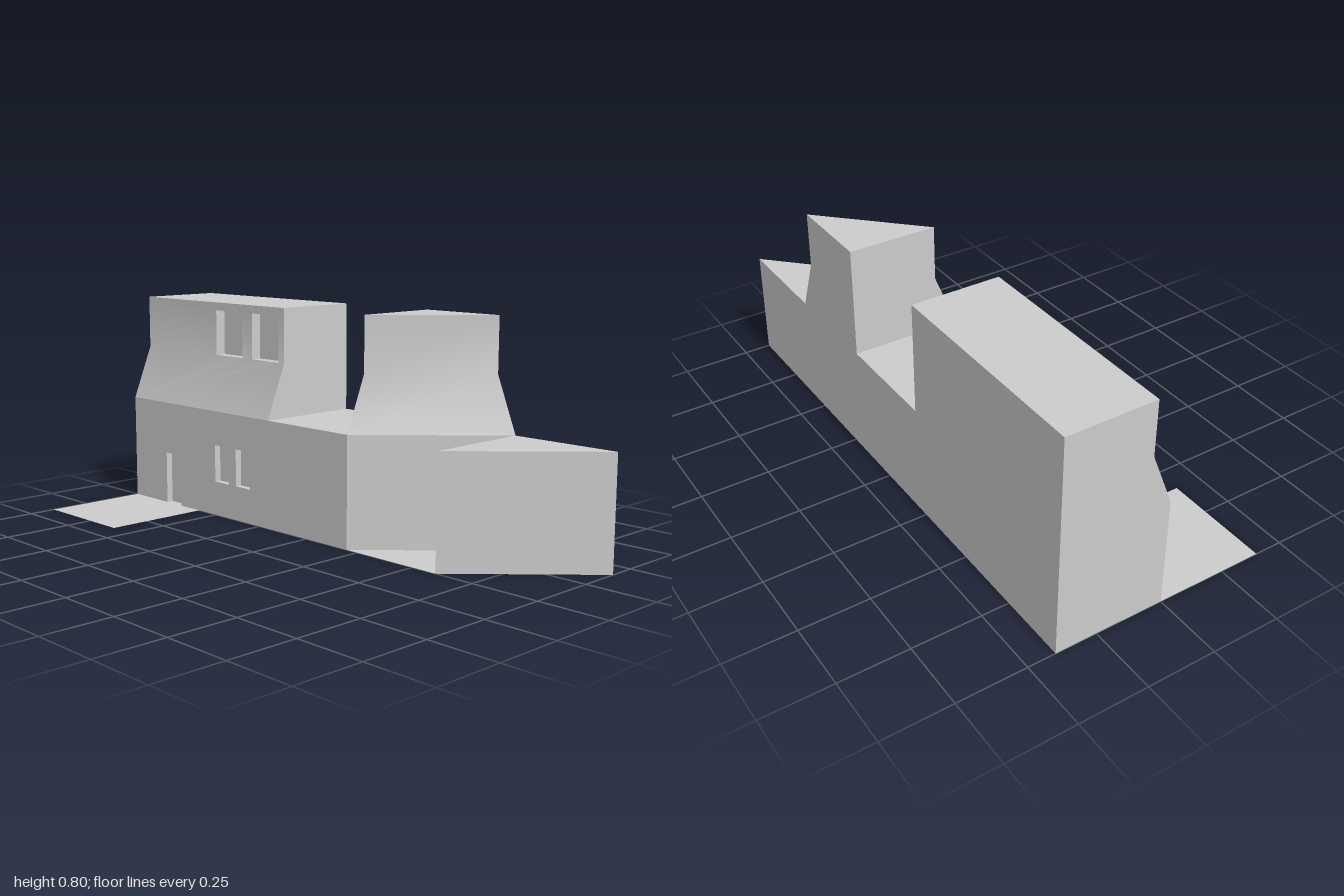
import * as THREE from 'three';
import { mergeGeometries, toCreasedNormals } from 'three/addons/utils/BufferGeometryUtils.js';

const material = new THREE.MeshStandardMaterial({ color: 0xcccccc });
const groundMaterial = new THREE.MeshStandardMaterial({ color: 0xcccccc, side: THREE.DoubleSide });
const CREASE = 0.5;

// Walls between successive rings of corners, closed by a cap on the last ring.
function stack(rings, skipFirstWall = false) {
  const pos = [];
  const tri = (...pts) => pts.forEach((p) => pos.push(...p));
  for (let r = 0; r < rings.length - 1; r++) {
    const a = rings[r], b = rings[r + 1];
    for (let i = skipFirstWall ? 1 : 0; i < a.length; i++) {
      const j = (i + 1) % a.length;
      tri(a[i], a[j], b[j]);
      tri(a[i], b[j], b[i]);
    }
  }
  const top = rings[rings.length - 1];
  for (let i = 1; i < top.length - 1; i++) tri(top[0], top[i], top[i + 1]);
  const g = new THREE.BufferGeometry();
  g.setAttribute('position', new THREE.Float32BufferAttribute(pos, 3));
  g.computeVertexNormals();
  return toCreasedNormals(g, CREASE);
}

const ring = (y, plan) => plan.map(([x, z]) => [x, y, z]);
const shape = (pts) => new THREE.Shape(pts.map(([x, y]) => new THREE.Vector2(x, y)));
const rect = ([x0, x1, y0, y1]) => [[x0, y0], [x1, y0], [x1, y1], [x0, y1]];

// Recess behind an opening: four reveals and a back panel.
function recess(opening, z, depth) {
  const at = (d) => rect(opening).map(([x, y]) => [x, y, d]);
  return stack([at(z), at(z - depth)]);
}

// Outline of a wall whose bottom edge is notched by openings standing on it.
function notched(x0, x1, y0, y1, openings) {
  const pts = [[x0, y0]];
  for (const [a, b, , t] of openings) pts.push([a, y0], [a, t], [b, t], [b, y0]);
  return [...pts, [x1, y0], [x1, y1], [x0, y1]];
}

export function createModel() {
  const group = new THREE.Group();
  const add = (name, geometry, mat = material) => {
    const mesh = new THREE.Mesh(geometry, mat);
    mesh.name = name;
    group.add(mesh);
  };

  // Ground sheet with the forecourt before the door
  const ground = [[-1, 0.4], [-0.6, 0.4], [-0.6, 0], [0.6, 0], [1, -0.4], [-1, -0.4]];
  add('ground', new THREE.ShapeGeometry(shape(ground.map(([x, z]) => [x, -z]))).rotateX(-Math.PI / 2), groundMaterial);

  // Lower storey: front left open for the facade
  const lowerPlan = [[-1, 0], [0.2, 0], [0.6, -0.4], [-1, -0.4]];
  add('lowerStorey', stack([ring(0, lowerPlan), ring(0.4, lowerPlan)], true));
  add('diagonalWall', stackWall([0.2, 0], [0.6, -0.4], 0, 0.4));

  // Lower facade with door and two windows
  const door = [-0.8, -0.71, 0, 0.2];
  const lowerWindows = [[-0.5, -0.42, 0.13, 0.27], [-0.38, -0.3, 0.13, 0.27]];
  const lowerWall = shape(notched(-1, 0.2, 0, 0.4, [door]));
  for (const w of lowerWindows) lowerWall.holes.push(new THREE.Path(shape(rect(w)).getPoints()));
  add('lowerFacade', new THREE.ShapeGeometry(lowerWall));
  add('doorRecess', recess(door, 0, 0.025));
  lowerWindows.forEach((w) => add('lowerWindowRecess', recess(w, 0, 0.025)));

  // Upper hall: sides, back and roof
  const hallPlan = (z) => [[-1, z], [-0.2, z], [-0.2, -0.4], [-1, -0.4]];
  add('upperHall', stack([ring(0.4, hallPlan(0)), ring(0.6, hallPlan(-0.08)), ring(0.8, hallPlan(-0.08))], true));

  // Upper facade: sloped band running smoothly into the windowed wall
  const upperWindows = [[-0.58, -0.43, 0.6, 0.77], [-0.375, -0.23, 0.6, 0.77]];
  const sills = upperWindows.flatMap(([a, b]) => [[a, 0.6], [b, 0.6]]).reverse();
  const slope = new THREE.ShapeGeometry(shape([[-1, 0.4], [-0.2, 0.4], [-0.2, 0.6], ...sills, [-1, 0.6]]));
  const upperWall = new THREE.ShapeGeometry(shape(notched(-1, -0.2, 0.6, 0.8, upperWindows)));
  const facade = mergeGeometries([slope, upperWall]);
  const p = facade.attributes.position;
  for (let i = 0; i < p.count; i++) p.setZ(i, -0.08 * Math.min(1, (p.getY(i) - 0.4) / 0.2));
  facade.computeVertexNormals();
  add('upperFacade', toCreasedNormals(facade, CREASE));
  upperWindows.forEach((w) => add('upperWindowRecess', recess(w, -0.08, 0.04)));

  // Triangular tower with the same sloped shoulder
  const towerPlan = (s) => [[0.2, s - 0.4], [0.2 + s, -0.4], [0.2, -0.4]];
  add('tower', stack([ring(0.4, towerPlan(0.4)), ring(0.6, towerPlan(0.32)), ring(0.8, towerPlan(0.32))]));

  // Low wedge-shaped wing at the end
  const wingPlan = [[0.6, 0], [1, -0.4], [0.6, -0.4]];
  add('wedgeWing', stack([ring(0, wingPlan), ring(0.4, wingPlan)]));

  return group;
}

// Single upright wall panel between two plan points
function stackWall([x0, z0], [x1, z1], y0, y1) {
  const length = Math.hypot(x1 - x0, z1 - z0);
  return new THREE.PlaneGeometry(length, y1 - y0)
    .rotateY(-Math.atan2(z1 - z0, x1 - x0))
    .translate((x0 + x1) / 2, (y0 + y1) / 2, (z0 + z1) / 2);
}
